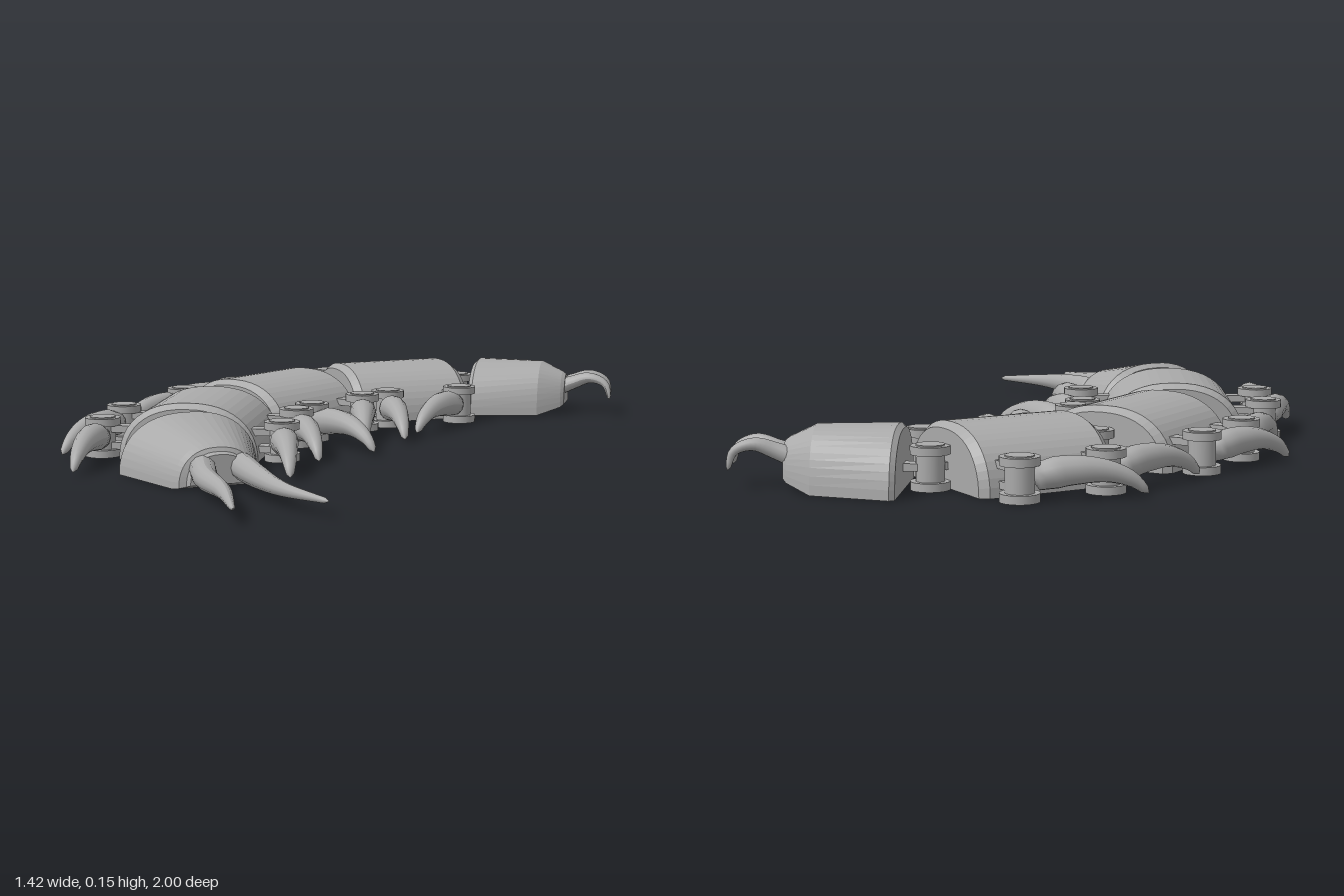
import * as THREE from 'three';

const rad = THREE.MathUtils.degToRad;

export function createModel() {
  const model = new THREE.Group();
  const grey = new THREE.MeshStandardMaterial({ color: 0xaaaaaa });
  grey.name = 'plain grey';

  const add = (parent, name, geometry, x = 0, y = 0, z = 0) => {
    const mesh = new THREE.Mesh(geometry, grey);
    mesh.name = name;
    mesh.position.set(x, y, z);
    parent.add(mesh);
    return mesh;
  };
  const group = (parent, name, x, z, degrees) => {
    const g = new THREE.Group();
    g.name = name;
    g.position.set(x, 0, z);
    g.rotation.y = rad(degrees);
    parent.add(g);
    return g;
  };

  // Flat-bottomed arch lofted along +z; sections are [z, halfWidth, bottom, top]
  const archLoft = (sections) => {
    const n = 24, pos = [], index = [];
    for (const [z, w, y0, y1] of sections) {
      for (let j = 0; j <= n; j++) {
        const a = Math.PI * j / n, c = Math.cos(a);
        pos.push(w * Math.sign(c) * Math.abs(c) ** 0.85, y0 + (y1 - y0) * Math.max(0, Math.sin(a)) ** 0.9, z);
      }
    }
    const row = n + 1, last = (sections.length - 1) * row;
    for (let i = 0; i < last; i += row) {
      for (let j = 0; j < row; j++) {
        const a = i + j, b = i + (j + 1) % row;
        index.push(a, b, a + row, b, b + row, a + row);
      }
    }
    for (let j = 1; j < n; j++) index.push(0, j + 1, j, last, last + j, last + j + 1);
    const g = new THREE.BufferGeometry();
    g.setAttribute('position', new THREE.Float32BufferAttribute(pos, 3));
    g.setIndex(index);
    const flat = g.toNonIndexed();
    flat.computeVertexNormals();
    return flat;
  };

  // Closed tapering tube through points, radius interpolated between radii
  const taperedTube = (points, radii, steps = 20, sides = 12) => {
    const curve = new THREE.CatmullRomCurve3(points.map((p) => new THREE.Vector3(...p)));
    const g = new THREE.TubeGeometry(curve, steps, 1, sides);
    const pos = g.attributes.position, nor = g.attributes.normal;
    for (let i = 0; i < pos.count; i++) {
      const t = Math.floor(i / (sides + 1)) / steps;
      const f = t * (radii.length - 1), k = Math.min(Math.floor(f), radii.length - 2);
      const r = t === 0 || t === 1 ? 0 : THREE.MathUtils.lerp(radii[k], radii[k + 1], f - k);
      const p = curve.getPointAt(t);
      pos.setXYZ(i, p.x + nor.getX(i) * r, p.y + nor.getY(i) * r, p.z + nor.getZ(i) * r);
    }
    g.computeVertexNormals();
    return g;
  };

  // Shared geometry
  const body = archLoft([
    [-0.178, 0.168, 0, 0.138], [-0.158, 0.185, 0, 0.152],
    [0.158, 0.185, 0, 0.152], [0.178, 0.168, 0, 0.138],
  ]);
  const flange = new THREE.CylinderGeometry(0.047, 0.047, 0.02, 20);
  const shank = new THREE.CylinderGeometry(0.034, 0.034, 0.106, 20);
  const bracket = new THREE.BoxGeometry(0.08, 0.018, 0.04);
  const legShape = taperedTube(
    [[0, 0.052, 0.025], [0, 0.066, 0.11], [0, 0.062, 0.2], [0, 0.04, 0.26], [0, 0.008, 0.298]],
    [0.03, 0.037, 0.033, 0.026, 0.019, 0.008],
  );

  // Spool-shaped hinge pin
  const addHinge = (parent, name, x, z) => {
    const g = group(parent, name, x, z, 0);
    add(g, 'hingeShank', shank, 0, 0.053, 0);
    for (const y of [0.01, 0.093]) add(g, 'hingeFlange', flange, 0, y, 0);
    return g;
  };

  // Body segments: x, z, turn, then leg headings for (-x front, -x rear, +x front, +x rear)
  const segments = [
    [-0.36, 0.058, 0, [-19, 0, 21, 14]],
    [-0.245, -0.374, -30, [-51, -23, 9, 43]],
    [0.06, -0.695, -60, [-79, -50, -18, 16.5]],
  ];
  segments.forEach(([x, z, turn, headings]) => {
    const seg = group(model, 'bodySegment', x, z, turn);
    add(seg, 'segmentShell', body);
    headings.forEach((heading, i) => {
      const side = i < 2 ? -1 : 1, end = i % 2 ? 1 : -1;
      const hinge = addHinge(seg, 'legHinge', side * 0.24, end * 0.113);
      for (const y of [0.03, 0.075]) add(hinge, 'legBracket', bracket, -side * 0.05, y, 0);
      add(hinge, 'leg', legShape).rotation.y = rad(heading - turn);
    });
    for (const end of [-1, 1]) {
      const arm = add(seg, 'linkArm', bracket, 0, 0.053, end * 0.195);
      arm.rotation.y = Math.PI / 2;
    }
  });

  // Hinges that link the chain
  const links = [[-0.36, 0.293], [-0.36, -0.17], [-0.14, -0.572], [0.245, -0.81]];
  links.forEach(([x, z]) => addHinge(model, 'bodyHinge', x, z));

  // Tail with two long feelers
  const tail = group(model, 'tail', ...links[0], 29);
  add(tail, 'tailShell', archLoft([
    [0.046, 0.17, 0, 0.138], [0.062, 0.182, 0, 0.15], [0.295, 0.11, 0, 0.108],
    [0.315, 0.1, 0.004, 0.1], [0.32, 0.082, 0.008, 0.09], [0.335, 0.076, 0.012, 0.085],
  ]));
  add(tail, 'tailLink', bracket, 0, 0.053, 0.04).rotation.y = Math.PI / 2;
  const feelers = [
    [[-0.25, 0.05, 0.56], [-0.236, 0.05, 0.61], [-0.206, 0.048, 0.71], [-0.143, 0.043, 0.825], [-0.085, 0.037, 0.998]],
    [[-0.17, 0.05, 0.51], [-0.145, 0.05, 0.56], [-0.09, 0.048, 0.667], [-0.01, 0.043, 0.783], [0.115, 0.037, 0.884]],
  ];
  feelers.forEach((p) => add(model, 'tailFeeler', taperedTube(p, [0.034, 0.032, 0.027, 0.02, 0.013, 0.006], 28)));

  // Head with two hooked pincers
  const head = group(model, 'head', ...links[3], 85);
  add(head, 'headShell', archLoft([
    [0.06, 0.148, 0, 0.142], [0.072, 0.157, 0, 0.152], [0.262, 0.108, 0, 0.15],
    [0.325, 0.062, 0.02, 0.12], [0.335, 0.05, 0.028, 0.112],
  ]));
  add(head, 'headLink', bracket, 0, 0.053, 0.045).rotation.y = Math.PI / 2;
  for (const [base, mid, tip] of [[-0.812, -0.818, -0.825], [-0.768, -0.755, -0.73]]) {
    add(model, 'pincer', taperedTube(
      [[0.55, 0.07, base], [0.6, 0.09, base], [0.65, 0.106, mid], [0.695, 0.09, (mid + tip) / 2], [0.71, 0.045, tip]],
      [0.024, 0.021, 0.018, 0.014, 0.01, 0.005],
    ));
  }
  return model;
}
